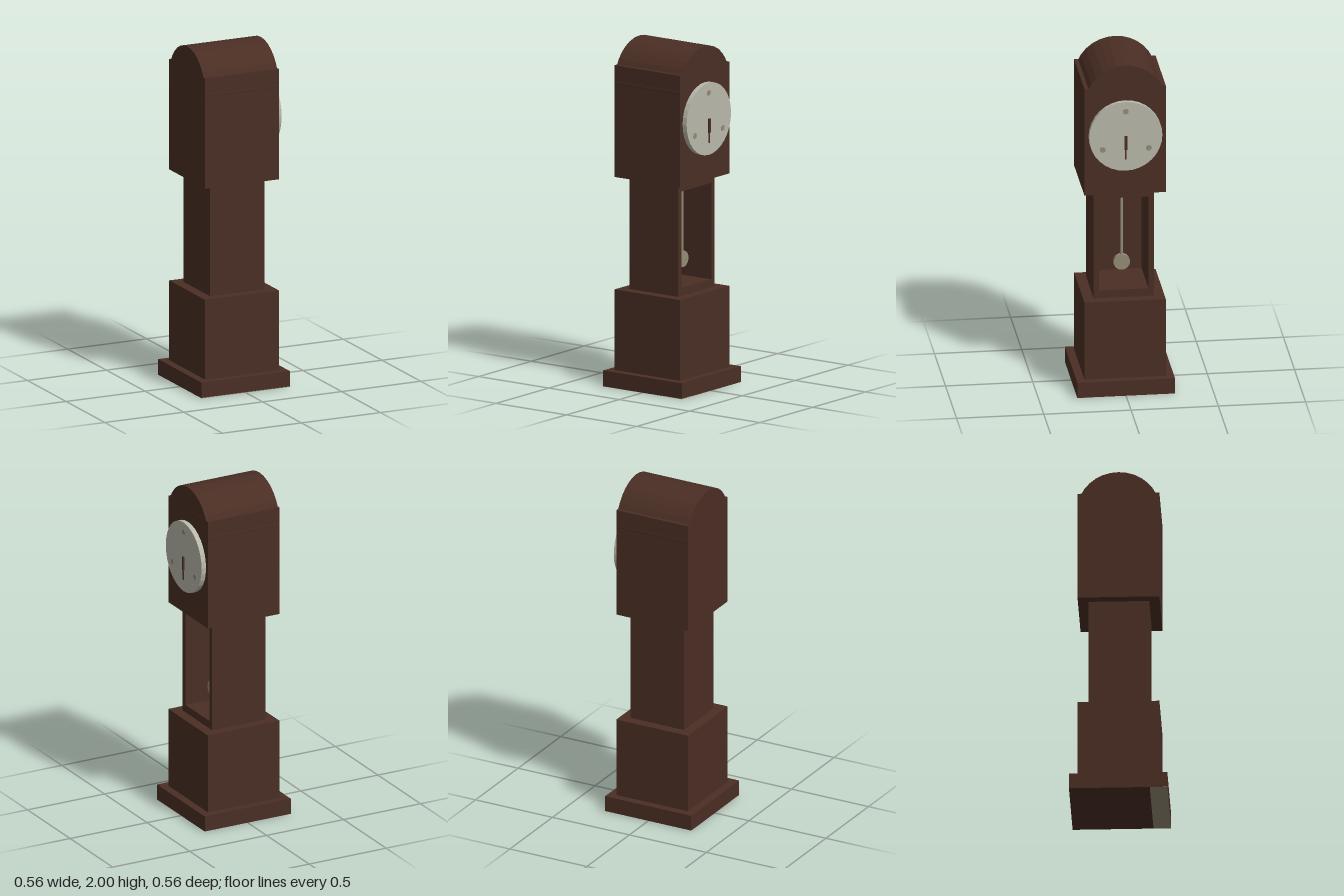
import * as THREE from 'three';

const material = (name, color, flatShading = false) => {
  const m = new THREE.MeshStandardMaterial({ color, flatShading });
  m.name = name;
  return m;
};

export function createModel() {
  const clock = new THREE.Group();
  clock.name = 'longcaseClock';
  const wood = material('darkWood', 0x4a2e24, true);
  const cream = material('creamDial', 0xb8b8aa, true);
  const brass = material('dullBrass', 0x958c76, true);

  const add = (name, geometry, mat, x, y, z) => {
    const mesh = new THREE.Mesh(geometry, mat);
    mesh.name = name;
    mesh.position.set(x, y, z);
    clock.add(mesh);
    return mesh;
  };
  const box = (name, mat, x0, x1, y0, y1, z0, z1) =>
    add(name, new THREE.BoxGeometry(x1 - x0, y1 - y0, z1 - z0), mat,
      (x0 + x1) / 2, (y0 + y1) / 2, (z0 + z1) / 2);
  // Disc or barrel whose axis runs along x
  const disc = (name, mat, r, x0, x1, y, z, sides = 32) =>
    add(name, new THREE.CylinderGeometry(r, r, x1 - x0, sides).rotateZ(-Math.PI / 2), mat,
      (x0 + x1) / 2, y, z);

  // Plinth and base
  box('plinth', wood, -0.28, 0.28, 0, 0.092, -0.28, 0.28);
  box('baseCabinet', wood, -0.233, 0.233, 0.092, 0.562, -0.233, 0.233);
  box('undersideStrip', brass, -0.28, 0.28, -0.001, 0.002, 0.18, 0.28);

  // Hollow waist: back, sides, and the frame around the open window
  const W = 0.173, D = 0.142;
  box('waistBack', wood, -W, -D, 0.562, 1.217, -W, W);
  for (const s of [-1, 1]) {
    const [a, b] = s < 0 ? [-W, -D] : [D, W];
    box('waistSide', wood, -D, W, 0.562, 1.217, a, b);
  }
  box('waistSill', wood, -D, W, 0.562, 0.608, -D, D);
  box('waistLintel', wood, -D, W, 1.17, 1.217, -D, D);

  // Pendulum
  add('pendulumRod', new THREE.CylinderGeometry(0.009, 0.009, 0.44, 12), brass, 0.07, 0.96, 0);
  disc('pendulumBob', brass, 0.047, 0.058, 0.082, 0.74, 0, 24);

  // Hood with its barrel top
  box('hood', wood, -0.233, 0.233, 1.217, 1.868, -0.233, 0.233);
  disc('hoodArch', wood, 0.234, -0.2325, 0.2325, 1.766, 0);

  // Dial and its three spots
  const dialY = 1.58;
  disc('dial', cream, 0.21, 0.23, 0.262, dialY, 0);
  for (let i = 0; i < 3; i++) {
    const a = (i * Math.PI * 2) / 3;
    disc('dialSpot', brass, 0.017, 0.26, 0.2635,
      dialY + Math.cos(a) * 0.152, Math.sin(a) * 0.152, 12);
  }

  // Hands, both pointing down
  box('hourHand', wood, 0.261, 0.27, 1.5, 1.582, -0.008, 0.008);
  box('minuteHand', wood, 0.261, 0.266, 1.44, 1.582, -0.004, 0.004);
  return clock;
}
